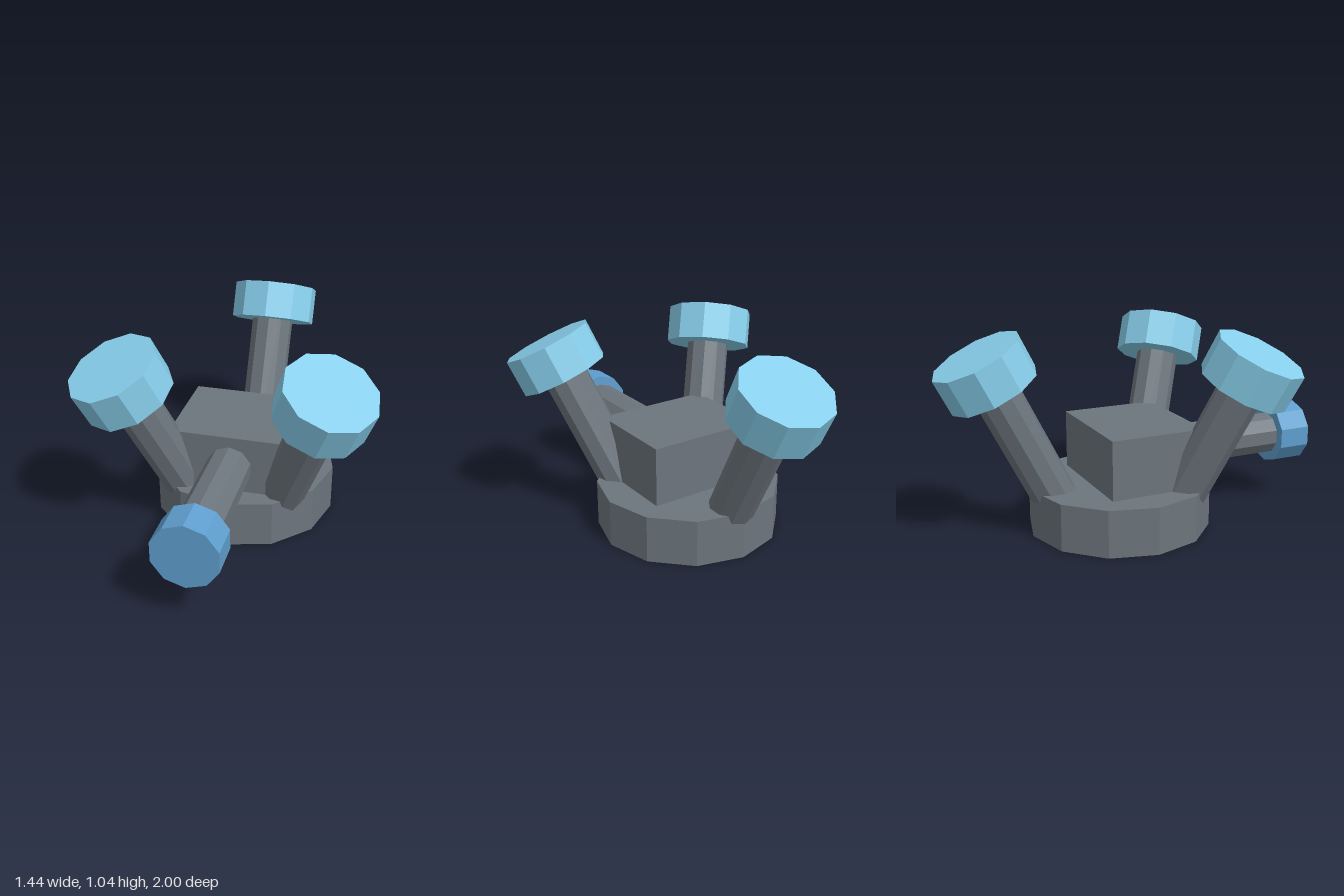
import * as THREE from 'three';

const grey = new THREE.MeshStandardMaterial({ color: 0x6c757d, flatShading: true });
const paleBlue = new THREE.MeshStandardMaterial({ color: 0x87ceeb, flatShading: true });
const midBlue = new THREE.MeshStandardMaterial({ color: 0x5f9fcf, flatShading: true });

function part(name, geometry, material, x, y, z) {
  const mesh = new THREE.Mesh(geometry, material);
  mesh.name = name;
  mesh.position.set(x, y, z);
  return mesh;
}

// A ten-sided rod with a wider cap; the group's origin is the middle of the cap
function cappedRod(name, position, azimuth, tilt, rodLength, capRadius, capHeight, capMaterial) {
  const group = new THREE.Group();
  group.name = name;
  group.add(
    part('rod', new THREE.CylinderGeometry(0.113, 0.113, rodLength, 10), grey, 0, -rodLength / 2, 0),
    part('cap', new THREE.CylinderGeometry(capRadius, capRadius, capHeight, 10), capMaterial, 0, 0, 0)
  );
  group.position.set(...position);
  group.rotation.set(tilt, azimuth, 0, 'YXZ');
  return group;
}

export function createModel() {
  const model = new THREE.Group();
  model.name = 'model';

  // Twelve-sided base and the block on it
  model.add(part('base', new THREE.CylinderGeometry(0.47, 0.47, 0.24, 12), grey, 0, 0.12, -0.07));
  model.add(part('block', new THREE.BoxGeometry(0.61, 0.3, 0.5), grey, 0, 0.39, 0.013));

  // Three leaning rods with wide caps, sunk into the base
  const tilt = 0.464;
  model.add(cappedRod('backRod', [0, 0.855, -0.75], Math.PI, tilt, 0.87, 0.228, 0.19, paleBlue));
  for (const side of [1, -1]) {
    model.add(cappedRod(side > 0 ? 'leftRod' : 'rightRod', [side * 0.48, 0.855, 0.407],
      side * Math.PI / 4, tilt, 0.87, 0.228, 0.19, paleBlue));
  }

  // Level rod pointing forward from the block
  model.add(cappedRod('frontRod', [0, 0.374, 0.914], 0, Math.PI / 2, 0.75, 0.163, 0.172, midBlue));

  return model;
}
